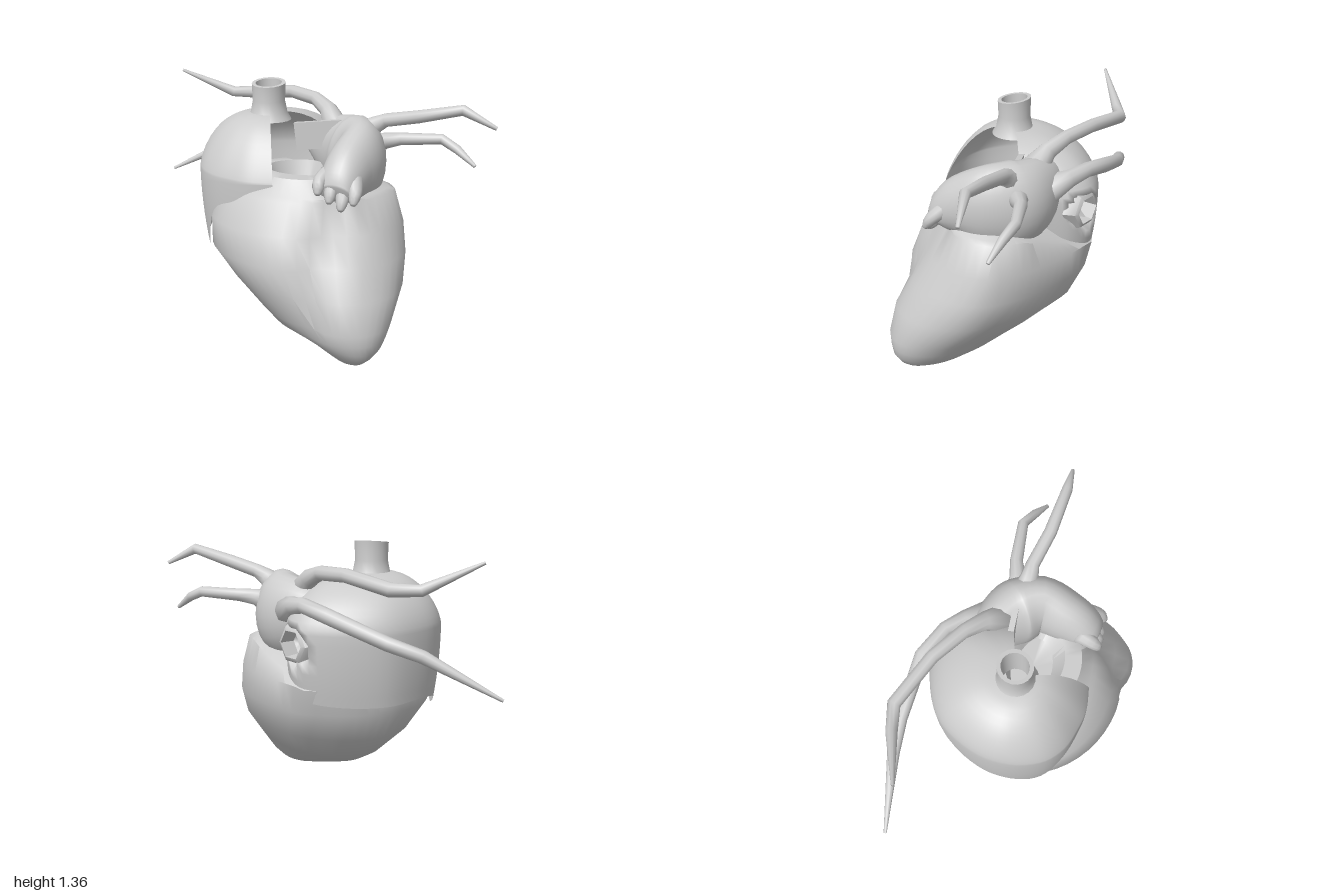
import * as THREE from 'three';
import { toCreasedNormals } from 'three/addons/utils/BufferGeometryUtils.js';

const V = (x, y, z) => new THREE.Vector3(x, y, z);
const material = new THREE.MeshStandardMaterial({ color: 0xcccccc, side: THREE.DoubleSide });
const lowerVeinMouth = V(0.08, 0.86, -0.43), lowerVeinAxis = V(0.5, 0, -0.87).normalize();

// Skin a list of rings (arrays of Vector3); closed rings wrap around.
function loft(rings, closed = true, caps = true) {
  const n = rings[0].length, pos = [], idx = [];
  rings.flat().forEach(p => pos.push(p.x, p.y, p.z));
  for (let i = 0; i < rings.length - 1; i++) {
    for (let j = 0; j < (closed ? n : n - 1); j++) {
      const a = i * n + j, b = i * n + (j + 1) % n;
      idx.push(a, b, a + n, b, b + n, a + n);
    }
  }
  if (caps) {
    [0, rings.length - 1].forEach((r, end) => {
      const c = V(0, 0, 0);
      rings[r].forEach(p => c.addScaledVector(p, 1 / n));
      const k = pos.length / 3;
      pos.push(c.x, c.y, c.z);
      for (let j = 0; j < n; j++) {
        const a = r * n + j, b = r * n + (j + 1) % n;
        if (end) idx.push(a, b, k); else idx.push(b, a, k);
      }
    });
  }
  const g = new THREE.BufferGeometry();
  g.setAttribute('position', new THREE.Float32BufferAttribute(pos, 3));
  g.setIndex(idx);
  g.computeVertexNormals();
  return g;
}

// Sample rows of numbers smoothly at t = 0..1.
function sampleRow(rows, t) {
  const f = t * (rows.length - 1), i = Math.min(Math.floor(f), rows.length - 2), u = f - i;
  const at = k => rows[Math.max(0, Math.min(rows.length - 1, k))];
  return rows[i].map((_, k) => {
    const p0 = at(i - 1)[k], p1 = at(i)[k], p2 = at(i + 1)[k], p3 = at(i + 2)[k];
    return p1 + 0.5 * u * (p2 - p0 + u * (2 * p0 - 5 * p1 + 4 * p2 - p3 + u * (3 * (p1 - p2) + p3 - p0)));
  });
}

// Tapering limb along points [x, y, z, half width, half height].
function sweep(points, steps, sides) {
  const rows = points.map(p => p.length < 5 ? [...p, p[3]] : p), rings = [];
  for (let i = 0; i <= steps; i++) {
    const t = i / steps, e = 0.01;
    const [x, y, z, w, h] = sampleRow(rows, t);
    const T = V(...sampleRow(rows, Math.min(1, t + e))).sub(V(...sampleRow(rows, Math.max(0, t - e)))).normalize();
    const side = V(0, 1, 0).cross(T).normalize(), up = T.clone().cross(side);
    rings.push(Array.from({ length: sides }, (_, j) => {
      const a = j / sides * Math.PI * 2;
      return V(x, y, z).addScaledVector(side, w * Math.cos(a)).addScaledVector(up, h * Math.sin(a));
    }));
  }
  return loft(rings);
}

function ventriclesGeometry() {
  // y, x min, x max, z min, z max, skew toward the apex
  const slices = [
    [0.0, 0.31, 0.4, 0.36, 0.46, 0.5],
    [0.012, 0.23, 0.435, 0.27, 0.5, 0.5],
    [0.04, 0.15, 0.47, 0.16, 0.53, 0.5],
    [0.09, 0.0, 0.51, 0.03, 0.562, 0.5],
    [0.14, -0.16, 0.53, -0.08, 0.578, 0.48],
    [0.2, -0.25, 0.547, -0.18, 0.588, 0.44],
    [0.35, -0.41, 0.573, -0.36, 0.575, 0.25],
    [0.5, -0.51, 0.565, -0.43, 0.54, 0.06],
    [0.65, -0.52, 0.535, -0.46, 0.48, 0],
    [0.81, -0.45, 0.48, -0.42, 0.38, 0],
    [0.825, -0.42, 0.45, -0.38, 0.36, 0],
    [0.91, -0.26, 0.28, -0.16, 0.3, 0],
    [0.91, -0.2, 0.22, -0.1, 0.21, 0],
    [0.83, -0.17, 0.16, -0.07, 0.15, 0],
  ];
  const rings = slices.map(([y, x0, x1, z0, z1, skew]) => {
    const cx = (x0 + x1) / 2, cz = (z0 + z1) / 2;
    return Array.from({ length: 48 }, (_, j) => {
      const a = -j / 48 * Math.PI * 2;
      let x = (x1 - x0) / 2 * Math.cos(a), z = (z1 - z0) / 2 * Math.sin(a + skew), k = 1;
      // soft groove between the two lower chambers
      if (z > 0 && y < 0.82) k -= 0.12 * (2 * z / (z1 - z0)) * Math.exp(-(((cx + x - 0.08 - 0.25 * y) / 0.1) ** 2));
      // flatter toward the back left
      if (x > 0 && z < 0) k -= 0.24 * y * Math.abs(Math.sin(2 * Math.atan2(z, x)));
      x = cx + x * k;
      z = cz + z * k;
      // the rim slopes down toward the back
      const top = z < -0.12 ? 0.82 + 0.55 * (z + 0.12) : 2;
      return V(x, Math.min(y, top), z);
    });
  });
  return toCreasedNormals(loft(rings), 0.9);
}

function rightAtriumGeometry() {
  // outline from the front flap round the side to the back: x, z, lower edge y
  const outline = [
    [-0.08, 0.36, 0.88], [-0.2, 0.37, 0.84], [-0.3, 0.35, 0.78], [-0.43, 0.3, 0.71], [-0.53, 0.2, 0.47],
    [-0.58, 0.03, 0.53], [-0.55, -0.16, 0.56], [-0.42, -0.36, 0.55],
    [-0.2, -0.46, 0.55], [0.02, -0.47, 0.57], [0.13, -0.38, 0.63], [0.17, -0.24, 0.72], [0.19, -0.1, 0.85],
  ];
  const cols = 56, rings = [], crown = 1.19, cx = -0.21;
  for (let i = 0; i <= 18; i++) {
    const ring = [];
    for (let j = 0; j <= cols; j++) {
      const [px, pz, low] = sampleRow(outline, j / cols);
      const d = Math.hypot(px - cx, pz), bx = cx + (px - cx) / d * 0.085, bz = pz / d * 0.085;
      // the front falls away more steeply than the back
      const front = Math.max(0, pz / 0.36), widest = 0.92 - 0.03 * front;
      let p;
      if (i <= 11) {
        const t = i / 11 * Math.PI / 2, s = Math.sin(t);
        const rise = (crown - widest) * Math.max(0, Math.cos(t)) ** (1.2 + 0.55 * front);
        p = V(bx + (px - bx) * s, widest + rise, bz + (pz - bz) * s);
      } else {
        const drop = (widest - low) * (i - 11) / 7, k = 1 - 0.55 * drop * drop;
        p = V(cx + (px - cx) * k, widest - drop, pz * k);
      }
      // hollow behind the lower vein opening
      if (p.distanceTo(lowerVeinMouth) < 0.085) p.addScaledVector(lowerVeinAxis, -0.08);
      ring.push(p);
    }
    rings.push(ring);
  }
  return loft(rings, false, false);
}

export function createModel() {
  const model = new THREE.Group();
  const add = (name, geometry) => {
    const m = new THREE.Mesh(geometry, material);
    m.name = name;
    model.add(m);
    return m;
  };
  const lathe = (profile, sides) => new THREE.LatheGeometry(profile.map(p => new THREE.Vector2(...p)), sides);

  add('ventricles', ventriclesGeometry());
  add('rightAtrium', rightAtriumGeometry());

  // upper vein: a short open pipe with a wall and slanted mouth
  const pipe = lathe([[0.12, 1.15], [0.098, 1.19], [0.086, 1.25], [0.09, 1.345], [0.07, 1.345], [0.066, 1.14]], 20);
  const pp = pipe.attributes.position;
  for (let i = 0; i < pp.count; i++) if (pp.getY(i) > 1.3) pp.setY(i, pp.getY(i) - pp.getZ(i) * 0.14);
  add('upperVein', toCreasedNormals(pipe, 0.8)).position.set(-0.21, 0, 0);

  // lower vein: six-sided opening at the back
  const lower = add('lowerVein', toCreasedNormals(lathe([[0.13, -0.06], [0.1, 0], [0.078, 0.01], [0.07, -0.07]], 6), 0.9));
  lower.position.copy(lowerVeinMouth);
  lower.quaternion.setFromUnitVectors(V(0, 1, 0), lowerVeinAxis);

  add('leftAtrium', sweep([
    [-0.02, 1.01, -0.24, 0.07, 0.09], [0.1, 0.98, -0.19, 0.12, 0.18], [0.23, 0.95, -0.1, 0.16, 0.23],
    [0.3, 0.95, 0.03, 0.135, 0.225], [0.275, 0.93, 0.17, 0.125, 0.175], [0.25, 0.89, 0.28, 0.108, 0.115],
    [0.24, 0.86, 0.34, 0.085, 0.05],
  ], 30, 24));

  // wall bridging the two upper chambers
  const wall = add('bridgeWall', new THREE.BoxGeometry(0.27, 0.15, 0.03));
  wall.position.set(0.05, 1.06, -0.08);
  wall.rotation.z = 0.12;

  // finger-like fringe on the left chamber
  [[0.16, 0.86], [0.22, 0.82], [0.28, 0.785], [0.345, 0.82]].forEach(([x, y], i) => {
    add('fringeFinger' + (i + 1), sweep([
      [0.25 + (x - 0.25) * 0.7, 0.94, 0.25, 0.05], [x, y + 0.06, 0.33, 0.036],
      [x, y + 0.02, 0.36, 0.026], [x, y, 0.375, 0.012],
    ], 9, 10));
  });

  // lung veins, straight between bends
  const veins = {
    leftUpperVein: [[0.28, 1.06, -0.06, 0.09], [0.36, 1.14, -0.05, 0.048], [0.42, 1.17, -0.045, 0.036],
      [0.6, 1.21, 0.01, 0.034], [0.83, 1.265, 0.05, 0.028], [1.0, 1.18, 0.05, 0.01]],
    leftLowerVein: [[0.3, 1.0, -0.1, 0.08], [0.4, 1.04, -0.12, 0.044], [0.48, 1.05, -0.145, 0.034],
      [0.7, 1.06, -0.155, 0.028], [0.79, 1.02, -0.11, 0.024], [0.89, 0.95, -0.06, 0.01]],
    rightUpperVein: [[0.12, 1.08, -0.15, 0.08], [0.06, 1.17, -0.22, 0.048], [-0.03, 1.21, -0.3, 0.038],
      [-0.2, 1.22, -0.42, 0.036], [-0.46, 1.18, -0.55, 0.036], [-0.6, 1.18, -0.525, 0.03], [-0.88, 1.31, -0.43, 0.008]],
    rightLowerVein: [[0.16, 1.0, -0.24, 0.08], [0.1, 1.04, -0.34, 0.048], [0.02, 1.06, -0.42, 0.04],
      [-0.13, 1.03, -0.505, 0.04], [-0.45, 0.92, -0.55, 0.036], [-0.62, 0.87, -0.55, 0.033], [-1.0, 0.68, -0.52, 0.008]],
  };
  for (const [name, pts] of Object.entries(veins)) add(name, sweep(pts, pts.length - 1, 10));

  return model;
}
